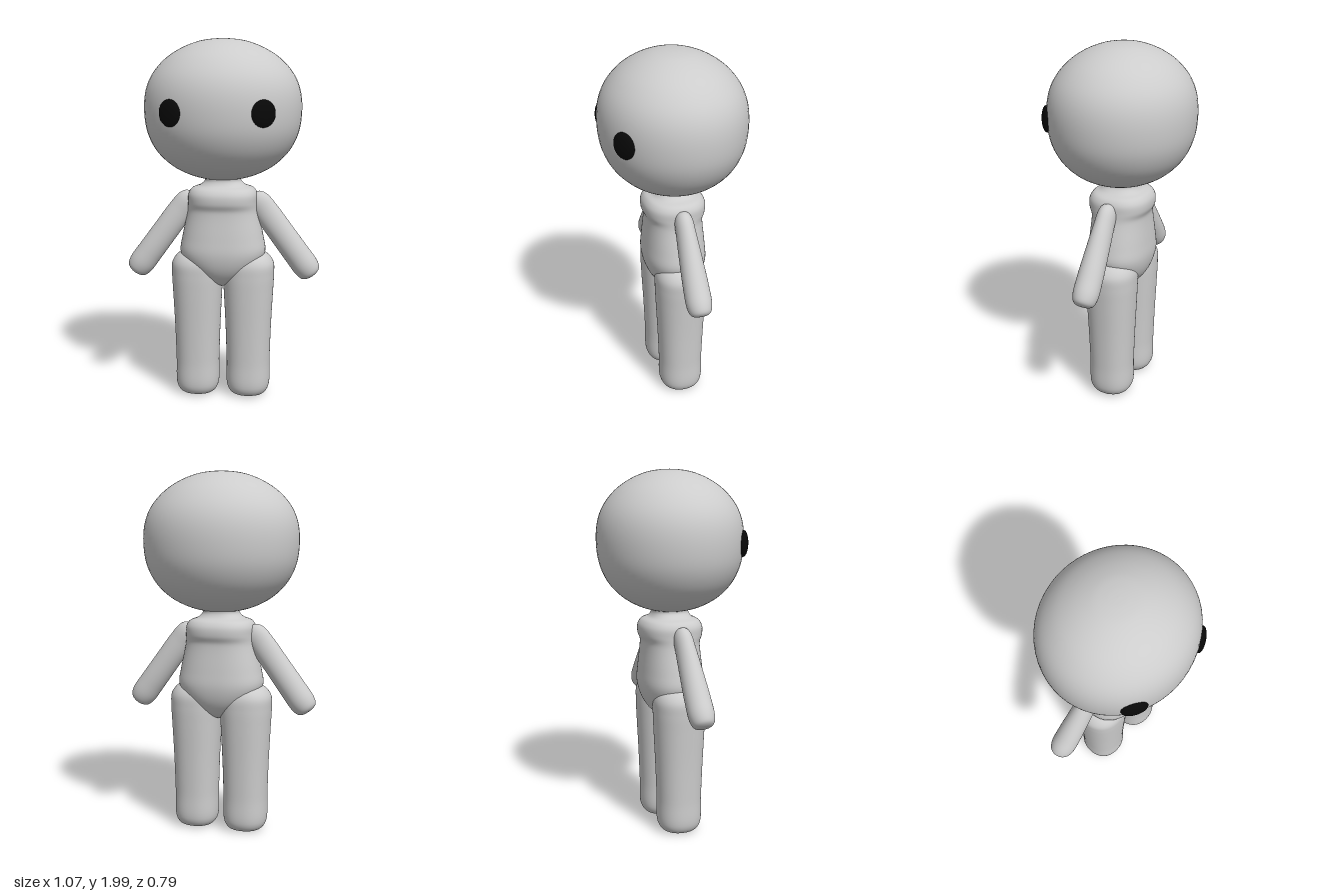
import * as THREE from 'three';

// Smooth closed body through rows of [y, halfWidth, halfDepth], listed bottom to top.
// roundness 1 gives ellipses; smaller values give boxier cross-sections.
function loft(rows, roundness = 1, rings = 72, sides = 56) {
  const curve = new THREE.CatmullRomCurve3(
    rows.map(([y, rx, rz]) => new THREE.Vector3(rx, y, rz)), false, 'centripetal');
  const pos = [], idx = [];
  const bend = (v) => Math.sign(v) * Math.abs(v) ** roundness;
  for (let i = 0; i <= rings; i++) {
    const p = curve.getPoint(i / rings);
    for (let j = 0; j < sides; j++) {
      const t = (j / sides) * Math.PI * 2;
      pos.push(Math.max(p.x, 0) * bend(Math.cos(t)), p.y, Math.max(p.z, 0) * bend(Math.sin(t)));
      if (i === rings) continue;
      const a = i * sides + j, b = i * sides + ((j + 1) % sides);
      idx.push(a, a + sides, b, b, a + sides, b + sides);
    }
  }
  const g = new THREE.BufferGeometry();
  g.setAttribute('position', new THREE.Float32BufferAttribute(pos, 3));
  g.setIndex(idx);
  g.computeVertexNormals();
  return g;
}

export function createModel() {
  const model = new THREE.Group();
  model.name = 'figure';
  const skin = new THREE.MeshStandardMaterial({ color: 0xcccccc });
  skin.name = 'light grey';
  const black = new THREE.MeshStandardMaterial({ color: 0x080808 });
  black.name = 'eye black';

  const add = (name, geometry, material, x = 0, y = 0, z = 0) => {
    const mesh = new THREE.Mesh(geometry, material);
    mesh.name = name;
    mesh.position.set(x, y, z);
    model.add(mesh);
    return mesh;
  };

  // Large head, flattened on top and rounder below
  const headProfile = [
    [1.23, 0], [1.236, 0.08], [1.265, 0.19], [1.32, 0.29], [1.40, 0.368], [1.50, 0.415],
    [1.62, 0.43], [1.72, 0.42], [1.80, 0.388], [1.88, 0.322], [1.94, 0.235], [1.98, 0.135],
    [1.993, 0.06], [1.996, 0],
  ];
  add('head', loft(headProfile.map(([y, r]) => [y, r, r * 0.92])), skin);

  // Torso with a chest band, wider hips and a tapered crotch
  add('torso', loft([
    [0.635, 0, 0], [0.645, 0.04, 0.06], [0.68, 0.10, 0.11], [0.75, 0.19, 0.153],
    [0.83, 0.236, 0.17], [0.92, 0.225, 0.165], [1.05, 0.197, 0.154], [1.075, 0.194, 0.156],
    [1.11, 0.192, 0.17], [1.155, 0.19, 0.17], [1.185, 0.172, 0.152], [1.205, 0.125, 0.115],
    [1.23, 0.1, 0.1], [1.26, 0.1, 0.1], [1.27, 0, 0],
  ], 0.85), skin);

  const legShape = loft([
    [0.005, 0, 0], [0.007, 0.07, 0.07], [0.022, 0.1, 0.1], [0.06, 0.119, 0.119],
    [0.2, 0.122, 0.122], [0.4, 0.128, 0.129], [0.6, 0.138, 0.138], [0.7, 0.143, 0.141],
    [0.765, 0.141, 0.138], [0.805, 0.118, 0.118], [0.83, 0.08, 0.08], [0.84, 0, 0],
  ], 0.9);
  const armShape = loft([
    [0, 0, 0], [0.004, 0.035, 0.035], [0.02, 0.059, 0.056], [0.06, 0.071, 0.068],
    [0.15, 0.072, 0.069], [0.3, 0.071, 0.062], [0.44, 0.07, 0.053], [0.52, 0.062, 0.047],
    [0.555, 0.04, 0.032], [0.57, 0, 0],
  ]);
  const eyeShape = new THREE.SphereGeometry(1, 40, 24);

  for (const [side, s] of [['left', 1], ['right', -1]]) {
    add(side + 'Leg', legShape, skin, s * 0.144);

    // Arms slope outward from the shoulders to the rounded hands
    add(side + 'Arm', armShape, skin, s * 0.501, 0.7, 0).rotation.z = s * 0.633;

    // Eyes are flattened domes lying on the curve of the head
    const eye = add(side + 'Eye', eyeShape, black, s * 0.241, 1.61, 0.326);
    eye.scale.set(0.0685, 0.071, 0.026);
    eye.rotation.y = s * 0.555;
  }
  return model;
}
